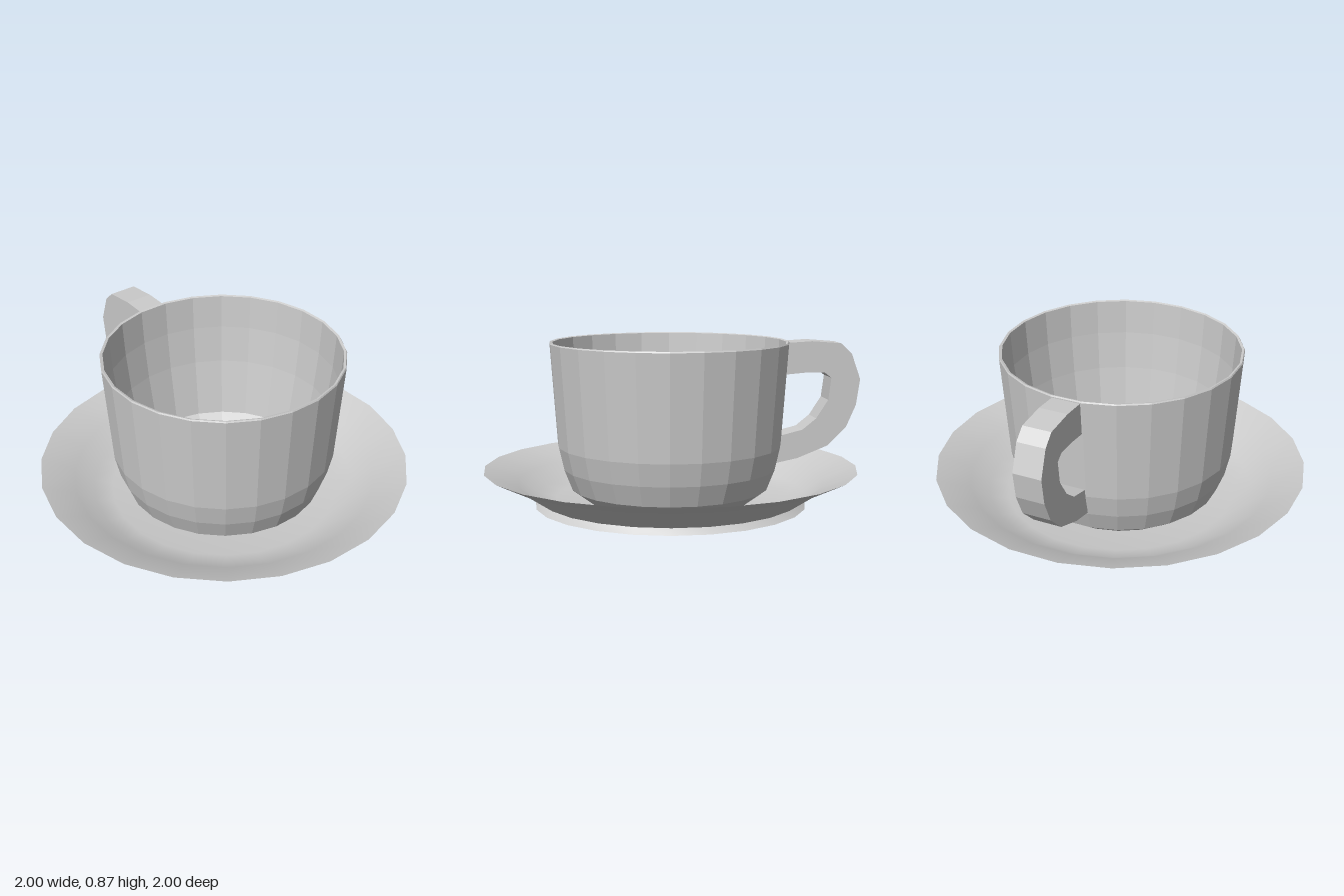
import * as THREE from 'three';
import { toCreasedNormals } from 'three/addons/utils/BufferGeometryUtils.js';

const SIDES = 24;
const toPoints = (list) => list.map(([x, y]) => new THREE.Vector2(x, y));

function addMesh(parent, name, geometry, flatShading) {
  const material = new THREE.MeshStandardMaterial({ color: 0xcccccc, flatShading, side: THREE.DoubleSide });
  const mesh = new THREE.Mesh(geometry, material);
  mesh.name = name;
  parent.add(mesh);
  return mesh;
}

export function createModel() {
  const model = new THREE.Group();
  model.name = 'cupAndSaucer';

  // Saucer: flared foot, sloping underside, thin rim, dished top
  const saucerProfile = toPoints([
    [0, 0], [0.73, 0], [0.70, 0.03], [0.82, 0.11], [1, 0.198],
    [0.82, 0.125], [0.72, 0.055], [0.62, 0.03], [0, 0.025],
  ]);
  const saucer = new THREE.LatheGeometry(saucerProfile, SIDES);
  addMesh(model, 'saucer', toCreasedNormals(saucer, 0.6), false);

  const cup = new THREE.Group();
  cup.name = 'cup';
  cup.position.z = 0.008;
  model.add(cup);

  // Bowl: outside from base to rim, then inside down to a recessed floor
  const bowlProfile = toPoints([
    [0, 0.03], [0.45, 0.03], [0.53, 0.09], [0.573, 0.2], [0.6, 0.32], [0.638, 0.865],
    [0.634, 0.872], [0.622, 0.868],
    [0.61, 0.68], [0.585, 0.47], [0.53, 0.15], [0.45, 0.1],
    [0.34, 0.08], [0.31, 0.065], [0, 0.065],
  ]);
  addMesh(cup, 'bowl', new THREE.LatheGeometry(bowlProfile, SIDES), true);

  // Handle: flat ear-shaped strip reaching out from the bowl wall
  const handleShape = new THREE.Shape(toPoints([
    [0.62, 0.86], [0.76, 0.868], [0.92, 0.855], [0.98, 0.8], [1.03, 0.66],
    [1.01, 0.52], [0.957, 0.4], [0.855, 0.3], [0.69, 0.235], [0.568, 0.21],
    [0.592, 0.36], [0.715, 0.39], [0.79, 0.45], [0.855, 0.55], [0.87, 0.67],
    [0.83, 0.7], [0.73, 0.7], [0.612, 0.69],
  ]));
  const width = 0.15;
  const handleGeometry = new THREE.ExtrudeGeometry(handleShape, { depth: width, bevelEnabled: false });
  handleGeometry.translate(0, 0, -width / 2);
  const handle = addMesh(cup, 'handle', handleGeometry, true);
  handle.rotation.y = Math.PI - THREE.MathUtils.degToRad(37.5);

  return model;
}
